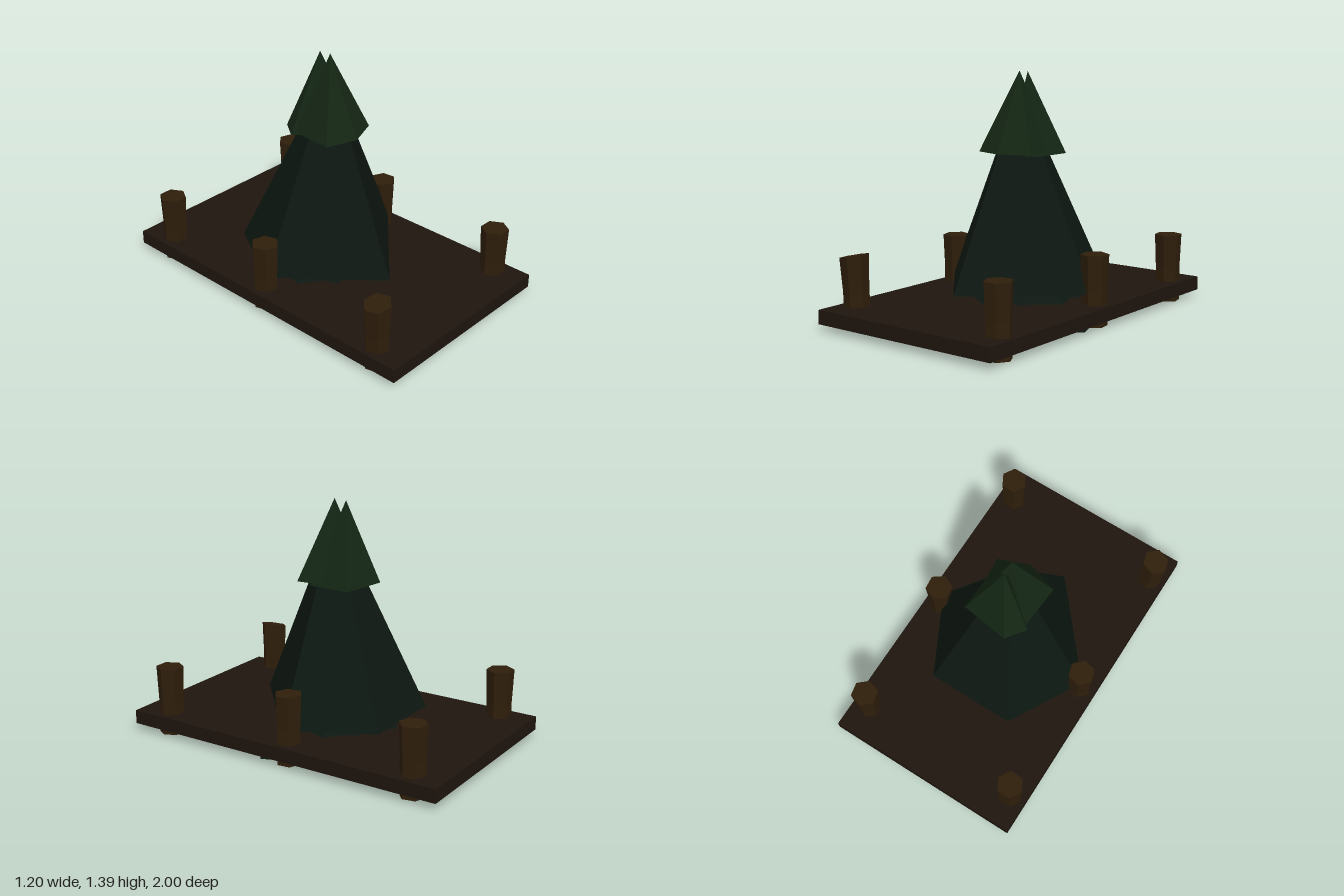
import * as THREE from 'three';

const mat = (color, side = THREE.FrontSide) =>
  new THREE.MeshStandardMaterial({ color, side, flatShading: true });

// Open pyramid from an apex to an irregular ring of [x, z] corners
function tier(name, apex, y, ring, material) {
  const pos = [];
  ring.forEach(([x, z], i) => {
    const [nx, nz] = ring[(i + 1) % ring.length];
    pos.push(...apex, x, y, z, nx, y, nz);
  });
  const geo = new THREE.BufferGeometry();
  geo.setAttribute('position', new THREE.Float32BufferAttribute(pos, 3));
  geo.computeVertexNormals();
  const mesh = new THREE.Mesh(geo, material);
  mesh.name = name;
  return mesh;
}

// Hexagonal post with a slight waist, leaning top and sloped cap
function post(x, z, turn, leanX, leanZ, slope, material) {
  const geo = new THREE.CylinderGeometry(0.08, 0.074, 0.4, 6, 2);
  geo.rotateY(turn);
  geo.translate(0, 0.2, 0);
  const p = geo.attributes.position;
  for (let i = 0; i < p.count; i++) {
    const t = p.getY(i) / 0.4;
    const waist = Math.abs(t - 0.5) < 0.1 ? 0.93 : 1;
    const px = p.getX(i), pz = p.getZ(i);
    p.setXYZ(i, px * waist + leanX * t, p.getY(i) + (t > 0.9 ? slope * px : 0), pz * waist + leanZ * t);
  }
  geo.computeVertexNormals();
  const mesh = new THREE.Mesh(geo, material);
  mesh.name = 'post';
  mesh.position.set(x, 0, z);
  return mesh;
}

export function createModel() {
  const model = new THREE.Group();
  const deckWood = mat(0x1e150e);
  const postWood = mat(0x2e1e0b);
  const darkGreen = mat(0x0d1711, THREE.DoubleSide);
  const topGreen = mat(0x142614, THREE.DoubleSide);

  // Deck
  const deck = new THREE.Mesh(new THREE.BoxGeometry(1.2, 0.08, 2), deckWood);
  deck.name = 'deck';
  deck.position.y = 0.08;
  model.add(deck);

  // Posts along both long edges: x, z, turn, leanX, leanZ, cap slope
  const posts = new THREE.Group();
  posts.name = 'posts';
  [
    [-0.5, 0.8, 0.25, -0.015, 0.008, 0.2],
    [0.5, 0.81, 0.5, 0, 0, 0],
    [-0.5, -0.03, 0.3, 0, 0, 0],
    [0.5, -0.03, 0.1, 0, 0, 0],
    [-0.5, -0.81, 0.52, 0, 0, 0],
    [0.5, -0.81, 0.2, 0, 0, 0],
  ].forEach((a) => posts.add(post(...a, postWood)));
  model.add(posts);

  // Trunk
  const trunk = new THREE.Mesh(new THREE.CylinderGeometry(0.1, 0.13, 0.5, 5), postWood);
  trunk.name = 'trunk';
  trunk.position.set(0, 0.28, -0.03);
  model.add(trunk);

  // Tree tiers, with overlapping pairs at the skirt and the crown
  const tree = new THREE.Group();
  tree.name = 'tree';
  tree.add(
    tier('skirtFront', [0, 0.37, 0], 0,
      [[0.02, 0.52], [0.55, 0.13], [0.33, -0.44], [-0.33, -0.44], [-0.55, 0.13]], darkGreen),
    tier('skirtBack', [0, 0.35, -0.05], 0.005,
      [[0.33, 0.4], [0.53, -0.2], [0, -0.61], [-0.53, -0.2], [-0.33, 0.4]], darkGreen),
    tier('middleTier', [0, 1.3, 0], 0.18,
      [[-0.06, 0.51], [0.51, 0.01], [0.27, -0.46], [-0.26, -0.46], [-0.51, -0.02]], darkGreen),
    tier('crownFront', [0, 1.39, 0], 0.935,
      [[0, 0.2], [0.18, 0.13], [0.16, -0.12], [-0.16, -0.12], [-0.18, 0.14]], topGreen),
    tier('crownBack', [0, 1.385, -0.075], 0.92,
      [[0, 0.1], [0.17, 0.05], [0.18, -0.2], [-0.1, -0.24], [-0.18, -0.13]], topGreen),
  );
  model.add(tree);
  return model;
}
